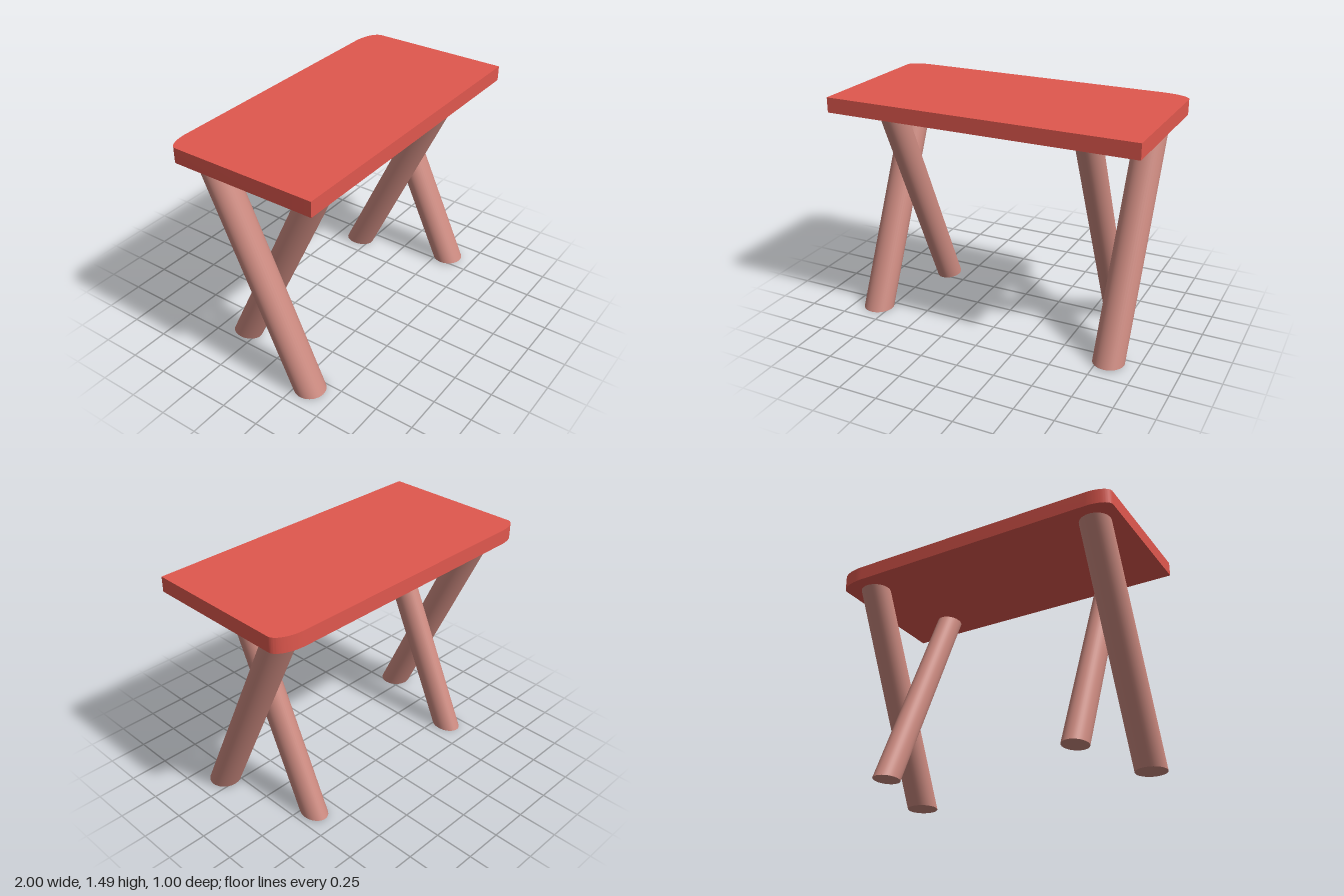
import * as THREE from 'three';
import { toCreasedNormals } from 'three/addons/utils/BufferGeometryUtils.js';

const topMaterial = new THREE.MeshStandardMaterial({ color: 0xe0584e });
const legMaterial = new THREE.MeshStandardMaterial({ color: 0xcc8a80 });
const UNDERSIDE = 1.39;

// Slanted leg with level ends: an elliptical cylinder sheared along z
function makeLeg(name, x, radiusX, bottomY, bottomZ, topZ) {
  const height = UNDERSIDE - bottomY;
  const geometry = new THREE.CylinderGeometry(1, 1, height, 40);
  geometry.scale(radiusX, 1, 0.1);
  const slope = (topZ - bottomZ) / height;
  geometry.applyMatrix4(new THREE.Matrix4().set(
    1, 0, 0, 0,
    0, 1, 0, 0,
    0, slope, 1, 0,
    0, 0, 0, 1));
  const leg = new THREE.Mesh(geometry, legMaterial);
  leg.name = name;
  leg.position.set(x, bottomY + height / 2, (bottomZ + topZ) / 2);
  return leg;
}

// Slab with square front corners and elliptically rounded back corners
function makeTableTop() {
  const shape = new THREE.Shape();
  shape.moveTo(-1, -0.5);
  shape.lineTo(1, -0.5);
  shape.lineTo(1, 0.41);
  shape.absellipse(0.81, 0.41, 0.19, 0.09, 0, Math.PI / 2, false);
  shape.lineTo(-0.85, 0.5);
  shape.absellipse(-0.85, 0.43, 0.15, 0.07, Math.PI / 2, Math.PI, false);
  shape.closePath();
  const slab = new THREE.ExtrudeGeometry(shape, { depth: 0.096, bevelEnabled: false, curveSegments: 16 });
  slab.rotateX(-Math.PI / 2);
  const top = new THREE.Mesh(toCreasedNormals(slab, 0.5), topMaterial);
  top.name = 'tableTop';
  top.position.y = UNDERSIDE;
  return top;
}

export function createModel() {
  const table = new THREE.Group();
  table.name = 'table';
  table.add(makeTableTop());

  // Each end has a thick outer leg crossing a narrower inner leg
  const ends = [
    { side: 'left', outerX: 0.82, innerX: 0.637, bottomY: 0.01 },
    { side: 'right', outerX: -0.833, innerX: -0.648, bottomY: 0 },
  ];
  for (const { side, outerX, innerX, bottomY } of ends) {
    table.add(makeLeg(`${side}OuterLeg`, outerX, 0.1, bottomY, 0.326, -0.318));
    table.add(makeLeg(`${side}InnerLeg`, innerX, 0.077, bottomY, -0.322, 0.32));
  }
  return table;
}
